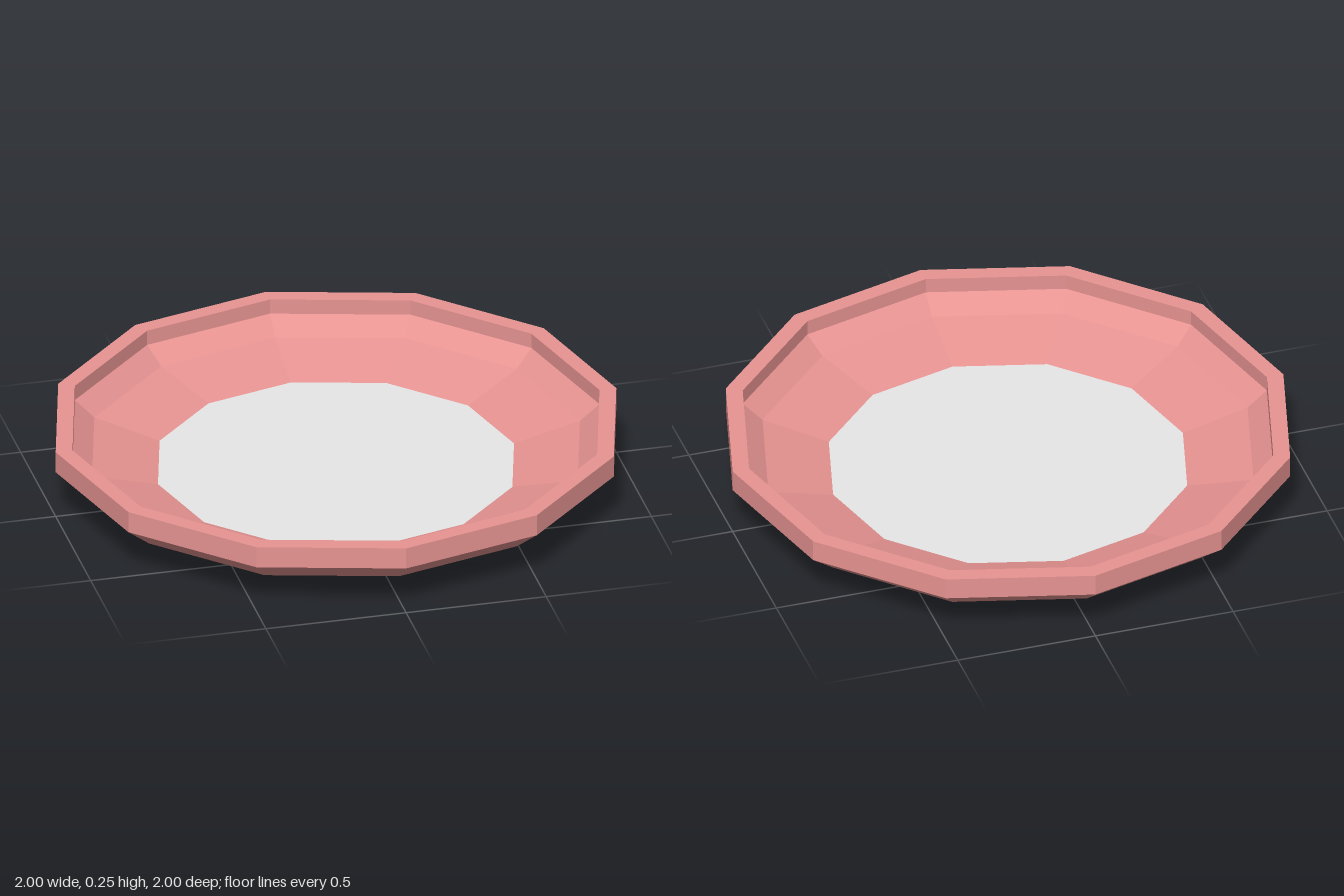
import * as THREE from 'three';

const SIDES = 12;

// Revolve a [radius, height] profile into a faceted twelve-sided ring
function facetedLathe(name, profile, material) {
  const points = profile.map(([r, y]) => new THREE.Vector2(r, y));
  const geometry = new THREE.LatheGeometry(points, SIDES).toNonIndexed();
  geometry.computeVertexNormals();
  const mesh = new THREE.Mesh(geometry, material);
  mesh.name = name;
  return mesh;
}

export function createModel() {
  const pink = new THREE.MeshStandardMaterial({ color: 0xf59d9b });
  pink.name = 'pink glaze';
  const white = new THREE.MeshStandardMaterial({ color: 0xf5f5f5 });
  white.name = 'white glaze';

  const plate = new THREE.Group();
  plate.name = 'plate';

  plate.add(
    // Standing ring under the plate
    facetedLathe('foot', [[0.6, 0.05], [0.6, 0], [0.695, 0], [0.695, 0.035]], pink),
    // Outer wall, flat lip and inner slope
    facetedLathe('rim', [
      [0.695, 0.035], [0.9, 0.092], [1, 0.172], [1, 0.25],
      [0.94, 0.25], [0.94, 0.195], [0.87, 0.138], [0.635, 0.08],
    ], pink),
    // Flat centre, seen from above and from below
    facetedLathe('floor', [[0.635, 0.08], [0, 0.08]], white),
    facetedLathe('underside', [[0, 0.05], [0.6, 0.05]], white),
  );
  return plate;
}
